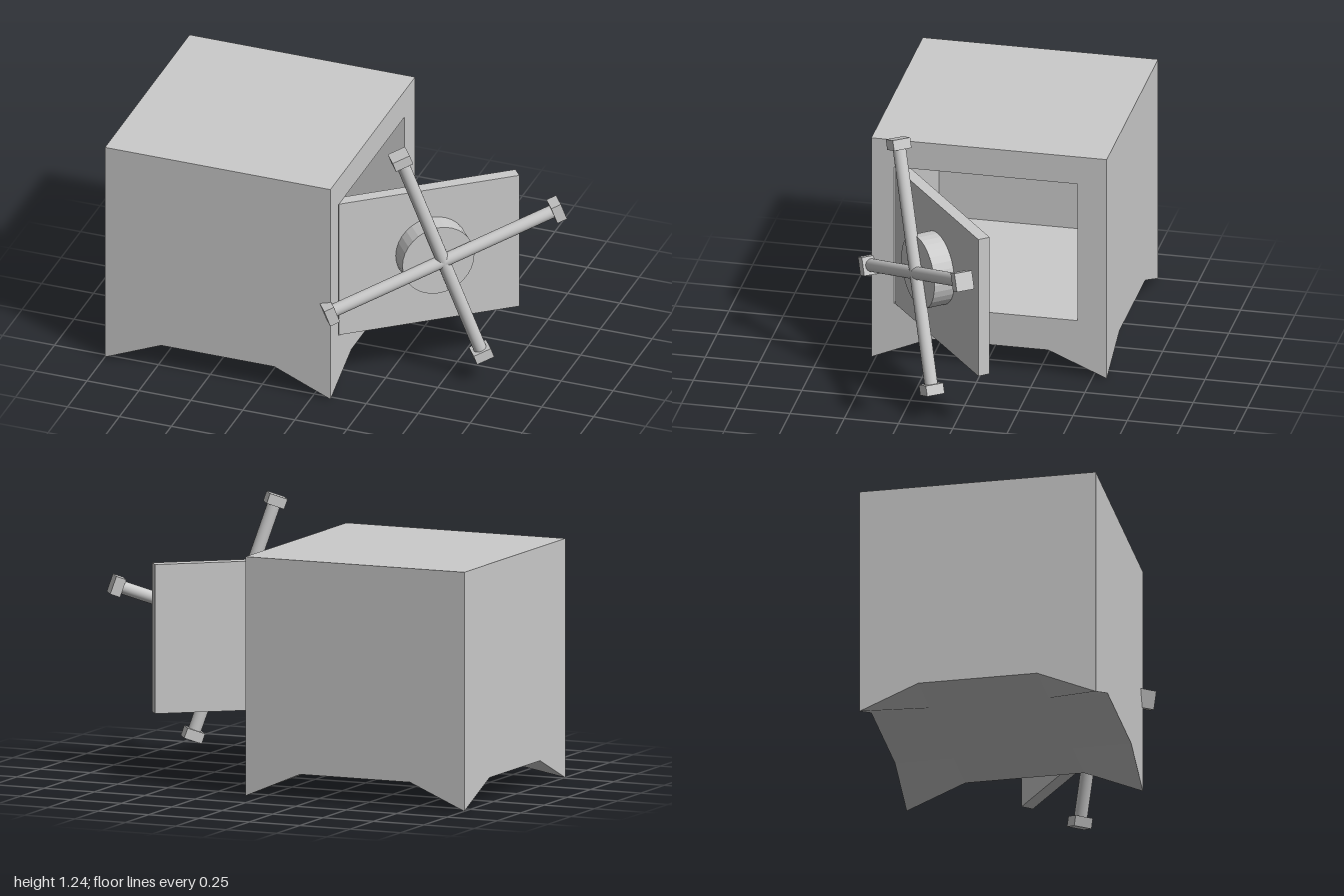
import * as THREE from 'three';

const H = 0.5425;      // half width of the square body
const TOP = 1.09;      // body height
const FLOOR = 0.115;   // underside height between the feet
const FOOT = 0.27;     // foot width along each edge

const grey = (options = {}) => new THREE.MeshStandardMaterial({ color: 0xcccccc, ...options });

function add(parent, name, geometry, material = grey()) {
  const mesh = new THREE.Mesh(geometry, material);
  mesh.name = name;
  parent.add(mesh);
  return mesh;
}

const polygon = (points) => new THREE.Shape(points.map(([x, y]) => new THREE.Vector2(x, y)));

function createBody() {
  const body = new THREE.Group();
  body.name = 'body';
  body.position.set(-0.4575, 0, -0.0225);

  // Four walls with a raised lower edge; the +x wall has the door opening
  const inner = H - FOOT;
  const hole = [[-0.4375, 0.275], [-0.4375, 0.955], [0.4075, 0.955], [0.4075, 0.275]];
  for (let i = 0; i < 4; i++) {
    const wall = polygon([[-H, 0], [-inner, FLOOR], [inner, FLOOR], [H, 0], [H, TOP], [-H, TOP]]);
    if (i === 1) wall.holes.push(polygon(hole));
    const geometry = new THREE.ShapeGeometry(wall).translate(0, 0, H);
    add(body, i === 1 ? 'doorwayWall' : 'wall', geometry).rotation.y = i * Math.PI / 2;

    // Pointed foot: two sloping faces meeting at a ridge
    const corner = [H, 0, H], a = [H, FLOOR, inner], b = [inner, FLOOR, H], mid = [inner, FLOOR, inner];
    const foot = new THREE.BufferGeometry();
    foot.setAttribute('position', new THREE.Float32BufferAttribute(
      [corner, mid, a, corner, b, mid].flat(), 3));
    foot.computeVertexNormals();
    add(body, 'foot', foot).rotation.y = i * Math.PI / 2;
  }

  // Top and cross-shaped underside
  add(body, 'top', new THREE.PlaneGeometry(2 * H, 2 * H).rotateX(-Math.PI / 2).translate(0, TOP, 0));
  const n = inner;
  const cross = polygon([[-n, -H], [n, -H], [n, -n], [H, -n], [H, n], [n, n],
    [n, H], [-n, H], [-n, n], [-H, n], [-H, -n], [-n, -n]]);
  add(body, 'underside', new THREE.ShapeGeometry(cross).rotateX(Math.PI / 2).translate(0, FLOOR, 0));

  // Hollow interior, open towards +x
  const depth = 0.95;
  const cavity = new THREE.BoxGeometry(depth, 0.68, 0.845);
  cavity.setIndex(Array.from(cavity.index.array).slice(6));
  cavity.clearGroups();
  cavity.translate(H - depth / 2, 0.615, 0.015);
  add(body, 'interior', cavity, grey({ side: THREE.BackSide }));
  return body;
}

function createDoor() {
  // Hinged at the front edge of the opening and swung open
  const door = new THREE.Group();
  door.name = 'door';
  door.position.set(0.085, 0, 0.41);
  door.rotation.y = 0.669;
  add(door, 'doorPanel', new THREE.BoxGeometry(0.853, 0.68, 0.057).translate(0.4265, 0.615, -0.0285));
  const hub = new THREE.CylinderGeometry(0.17, 0.17, 0.1, 32).rotateX(Math.PI / 2);
  add(door, 'hub', hub, grey({ flatShading: true })).position.set(0.438, 0.64, 0.05);
  return door;
}

function createHandle() {
  // Four-armed turning handle made of two crossed bars with end blocks
  const handle = new THREE.Group();
  handle.name = 'handle';
  handle.position.set(0.515, 0.645, 0.22);
  handle.rotation.set(0, 0.62, 0.343, 'YXZ');
  for (const [angle, shift] of [[0, 0.03], [-Math.PI / 2, 0]]) {
    const bar = new THREE.Group();
    bar.name = 'handleBar';
    bar.rotation.z = angle;
    add(bar, 'rod', new THREE.CylinderGeometry(0.03, 0.03, 1.12, 32).translate(0, shift, 0));
    for (const side of [-1, 1]) {
      add(bar, 'endBlock', new THREE.BoxGeometry(0.085, 0.048, 0.085))
        .position.y = shift + side * 0.562;
    }
    handle.add(bar);
  }
  return handle;
}

export function createModel() {
  const model = new THREE.Group();
  model.name = 'safe';
  model.add(createBody(), createDoor(), createHandle());
  return model;
}
